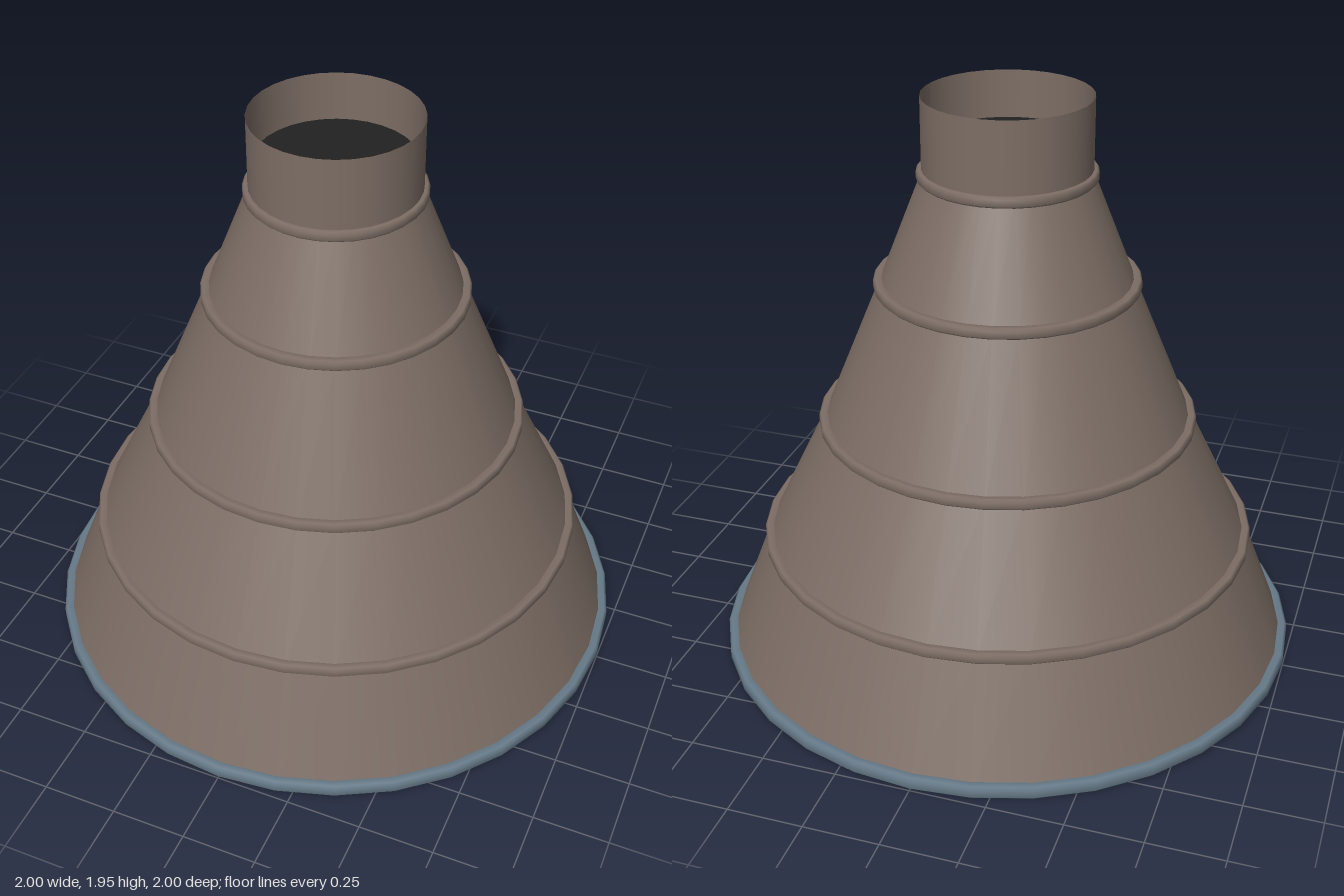
import * as THREE from 'three';

const SEGMENTS = 32;

// Hoop with a slightly chamfered square section
function hoop(outer, thickness, height, material, name) {
  const c = height * 0.2, h = height / 2, inner = outer - thickness;
  const profile = [
    [inner + c, -h], [outer - c, -h], [outer, -h + c], [outer, h - c],
    [outer - c, h], [inner + c, h], [inner, h - c], [inner, -h + c], [inner + c, -h],
  ].map(([x, y]) => new THREE.Vector2(x, y));
  const mesh = new THREE.Mesh(new THREE.LatheGeometry(profile, SEGMENTS), material);
  mesh.name = name;
  return mesh;
}

export function createModel() {
  const group = new THREE.Group();
  group.name = 'nozzle';
  const shell = new THREE.MeshStandardMaterial({ color: 0x7d6e65, side: THREE.DoubleSide });
  shell.name = 'warm grey metal';
  const steel = new THREE.MeshStandardMaterial({ color: 0x667a88 });
  steel.name = 'blue steel';
  const dark = new THREE.MeshStandardMaterial({ color: 0x222222, side: THREE.DoubleSide });
  dark.name = 'dark plate';

  // Thin open wall: neck on top, then flaring sections [radius, height]
  const wall = [[0.275, 1.945], [0.275, 1.69], [0.42, 1.32], [0.618, 0.838], [0.825, 0.412], [0.978, 0.02]];
  for (let i = 0; i < wall.length - 1; i++) {
    const [r0, y0] = wall[i], [r1, y1] = wall[i + 1];
    const section = new THREE.Mesh(
      new THREE.CylinderGeometry(r0, r1, y0 - y1, SEGMENTS, 1, true), shell);
    section.position.y = (y0 + y1) / 2;
    section.name = i === 0 ? 'neck' : 'bellSection' + i;
    group.add(section);
  }

  // Stiffening hoops at the joints
  [[0.292, 1.69], [0.44, 1.322], [0.638, 0.838], [0.845, 0.412]].forEach(([r, y], i) => {
    const band = hoop(r, 0.035, 0.036, shell, 'stiffeningRing' + (i + 1));
    band.position.y = y;
    group.add(band);
  });

  // Exit rim
  const rim = hoop(1, 0.042, 0.043, steel, 'exitRim');
  rim.position.y = 0.0215;
  group.add(rim);

  // Plate inside the neck, with a narrow gap around it
  const plate = new THREE.Mesh(new THREE.CircleGeometry(0.26, SEGMENTS), dark);
  plate.rotation.x = -Math.PI / 2;
  plate.position.y = 1.79;
  plate.name = 'throatPlate';
  group.add(plate);

  return group;
}
